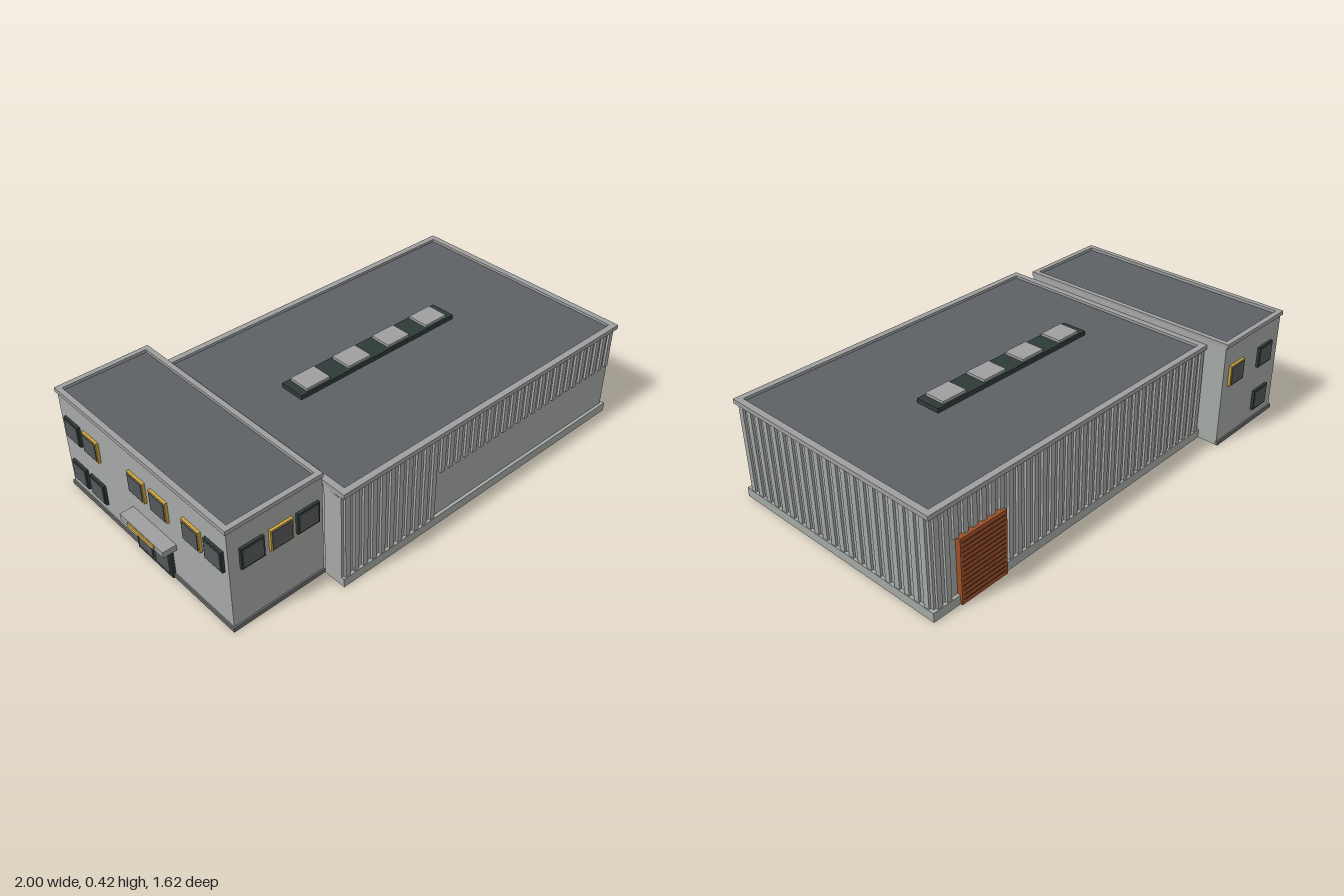
import * as THREE from 'three';

const paint = (name, color) => {
  const m = new THREE.MeshStandardMaterial({ color });
  m.name = name;
  return m;
};

export function createModel() {
  const wall = paint('wallGrey', 0xa4a8a5);
  const trim = paint('trimGrey', 0x9e9f9e);
  const roof = paint('roofSlate', 0x5c6165);
  const dark = paint('darkGreen', 0x2e3a38);
  const glass = paint('windowGrey', 0x54585c);
  const yellow = paint('yellow', 0xcda43f);
  const rust = paint('rust', 0x9c4f28);
  const rustDark = paint('rustDark', 0x5e2f1a);
  const base = paint('baseGrey', 0x666969);

  const model = new THREE.Group();
  model.name = 'warehouse';
  const building = new THREE.Group();
  building.name = 'building';
  building.rotation.y = 0.5527; // the building stands at an angle on its plot
  model.add(building);

  // Box from its extents along the building's own axes
  const box = (name, mat, x0, x1, y0, y1, z0, z1) => {
    const mesh = new THREE.Mesh(new THREE.BoxGeometry(x1 - x0, y1 - y0, z1 - z0), mat);
    mesh.position.set((x0 + x1) / 2, (y0 + y1) / 2, (z0 + z1) / 2);
    mesh.name = name;
    building.add(mesh);
    return mesh;
  };

  // Four bars around a rectangle
  const ring = (name, mat, x0, x1, y0, y1, z0, z1, t) => {
    box(name, mat, x0, x1, y0, y1, z0, z0 + t);
    box(name, mat, x0, x1, y0, y1, z1 - t, z1);
    box(name, mat, x0, x0 + t, y0, y1, z0 + t, z1 - t);
    box(name, mat, x1 - t, x1, y0, y1, z0 + t, z1 - t);
  };

  // Extents of the hall (H) and the office (O)
  const H = { x0: -0.49, x1: 0.862, z0: -0.425, z1: 0.503 };
  const O = { x0: -0.858, x1: -0.49, z0: -0.51, z1: 0.413 };
  const inset = 0.012, thick = 0.006;

  // Hall walls, open towards the office
  const front = H.z1 - inset, back = H.z0 + inset, end = H.x1 - inset;
  box('hallFrontWall', wall, H.x0, end, 0, 0.375, front - thick, front);
  box('hallBackWall', wall, H.x0, end, 0, 0.375, back, back + thick);
  box('hallEndWall', wall, end - thick, end, 0, 0.375, back, front);
  box('hallReturnWall', wall, H.x0, H.x0 + thick, 0, 0.375, O.z1, front);

  // Hall plinth
  box('hallPlinth', wall, H.x0, H.x1, 0, 0.035, front - thick, H.z1);
  box('hallPlinth', wall, H.x0, H.x1, 0, 0.035, H.z0, back + thick);
  box('hallPlinth', wall, end - thick, H.x1, 0, 0.035, back, front);

  // Cladding ribs, standing out on both faces of the sheet
  const door = { x0: 0.555, x1: 0.752, top: 0.25 };
  const ribs = 35, step = (end - H.x0) / ribs;
  for (let i = 0; i < ribs; i++) {
    const x = H.x0 + (i + 0.5) * step, w = step / 4;
    const low = x > -0.08 ? 0.22 : 0.035;
    box('frontRib', wall, x - w, x + w, low, 0.372, front - 0.015, front + 0.009);
    const overDoor = x > door.x0 - w && x < door.x1 + w;
    box('backRib', wall, x - w, x + w, overDoor ? door.top : 0.035, 0.372, back - 0.009, back + 0.015);
  }
  const endRibs = 21, endStep = (front - back) / endRibs;
  for (let i = 0; i < endRibs; i++) {
    const z = back + (i + 0.5) * endStep, w = endStep / 4;
    box('endRib', wall, end - 0.015, end + 0.009, 0.035, 0.372, z - w, z + w);
  }

  // Hall roof and edge trim
  box('hallRoof', roof, H.x0, H.x1 - 0.02, 0.365, 0.38, H.z0 + 0.02, H.z1 - 0.02);
  ring('hallRoofTrim', trim, H.x0, H.x1, 0.373, 0.39, H.z0, H.z1, 0.024);

  // Skylight strip with four raised panes
  box('skylightStrip', dark, -0.27, 0.462, 0.355, 0.397, -0.043, 0.055);
  for (let i = 0; i < 4; i++) {
    const x = 0.096 + (i - 1.5) * 0.189;
    box('skylightPane', trim, x - 0.052, x + 0.052, 0.397, 0.407, -0.036, 0.048);
  }

  // Roller door with slat grooves
  box('rollerDoor', rust, door.x0, door.x1, 0, door.top, H.z0 - 0.008, back);
  for (let i = 1; i < 14; i++) {
    const y = (i * door.top) / 14;
    box('slatGroove', rustDark, door.x0 + 0.008, door.x1 - 0.008, y - 0.0015, y + 0.0015, H.z0 - 0.0095, H.z0 - 0.007);
  }

  // Office walls
  const ox = O.x0 + 0.006, oz0 = O.z0 + 0.006, oz1 = O.z1 - 0.006;
  box('officeEntranceWall', wall, ox, ox + thick, 0, 0.41, oz0, oz1);
  box('officeFrontWall', wall, ox, O.x1, 0, 0.41, oz1 - thick, oz1);
  box('officeBackWall', wall, ox, O.x1, 0, 0.41, oz0, oz0 + thick);
  box('officeReturnWall', wall, O.x1 - thick, O.x1, 0, 0.41, oz0, back);
  box('officeUpperWall', wall, O.x1 - thick, O.x1, 0.37, 0.41, back, oz1);

  // Office base band
  box('officeBase', base, O.x0, ox + thick, 0, 0.016, O.z0, O.z1);
  box('officeBase', base, O.x0, O.x1, 0, 0.016, oz1 - thick, O.z1);
  box('officeBase', base, O.x0, O.x1, 0, 0.016, O.z0, oz0 + thick);

  // Office roof and edge trim
  box('officeRoof', roof, O.x0 + 0.015, O.x1 - 0.015, 0.395, 0.409, O.z0 + 0.015, O.z1 - 0.015);
  ring('officeRoofTrim', trim, O.x0, O.x1, 0.404, 0.42, O.z0, O.z1, 0.02);

  // Window: a frame through the wall with a pane on the outside
  const addWindow = (side, along, y, lit) => {
    const win = new THREE.Group();
    win.name = 'window';
    const frame = new THREE.Mesh(new THREE.BoxGeometry(0.088, 0.082, 0.026), lit ? yellow : dark);
    frame.name = 'windowFrame';
    const pane = new THREE.Mesh(new THREE.BoxGeometry(0.076, 0.07, 0.004), glass);
    pane.name = 'windowPane';
    pane.position.z = 0.014;
    win.add(frame, pane);
    if (side === 'entrance') {
      win.position.set(ox + 0.003, y, along);
      win.rotation.y = -Math.PI / 2;
    } else if (side === 'front') {
      win.position.set(along, y, oz1 - 0.003);
    } else {
      win.position.set(along, y, oz0 + 0.003);
      win.rotation.y = Math.PI;
    }
    building.add(win);
  };
  const upper = 0.28, lower = 0.095;
  [[-0.43, 0], [-0.32, 1], [-0.055, 1], [0.065, 1], [0.235, 1], [0.345, 0]]
    .forEach(([z, lit]) => addWindow('entrance', z, upper, lit));
  [-0.43, -0.32].forEach((z) => addWindow('entrance', z, lower, 0));
  [[-0.768, 0], [-0.658, 1], [-0.554, 0]].forEach(([x, lit]) => addWindow('front', x, upper, lit));
  addWindow('back', -0.568, upper, 1);
  addWindow('back', -0.757, upper, 0);
  addWindow('back', -0.757, lower, 0);

  // Entrance door, canopy and sign plate
  box('entranceDoor', dark, O.x0 - 0.006, ox + 0.014, 0, 0.135, -0.09, 0.105);
  for (const z of [-0.04, 0.055]) {
    box('doorPane', glass, O.x0 - 0.009, O.x0 - 0.006, 0.015, 0.12, z - 0.038, z + 0.038);
  }
  box('canopy', trim, O.x0 - 0.046, ox + 0.014, 0.137, 0.16, -0.107, 0.131);
  box('signPlate', yellow, O.x0 - 0.05, O.x0 - 0.046, 0.141, 0.156, -0.06, 0.085);

  return model;
}
